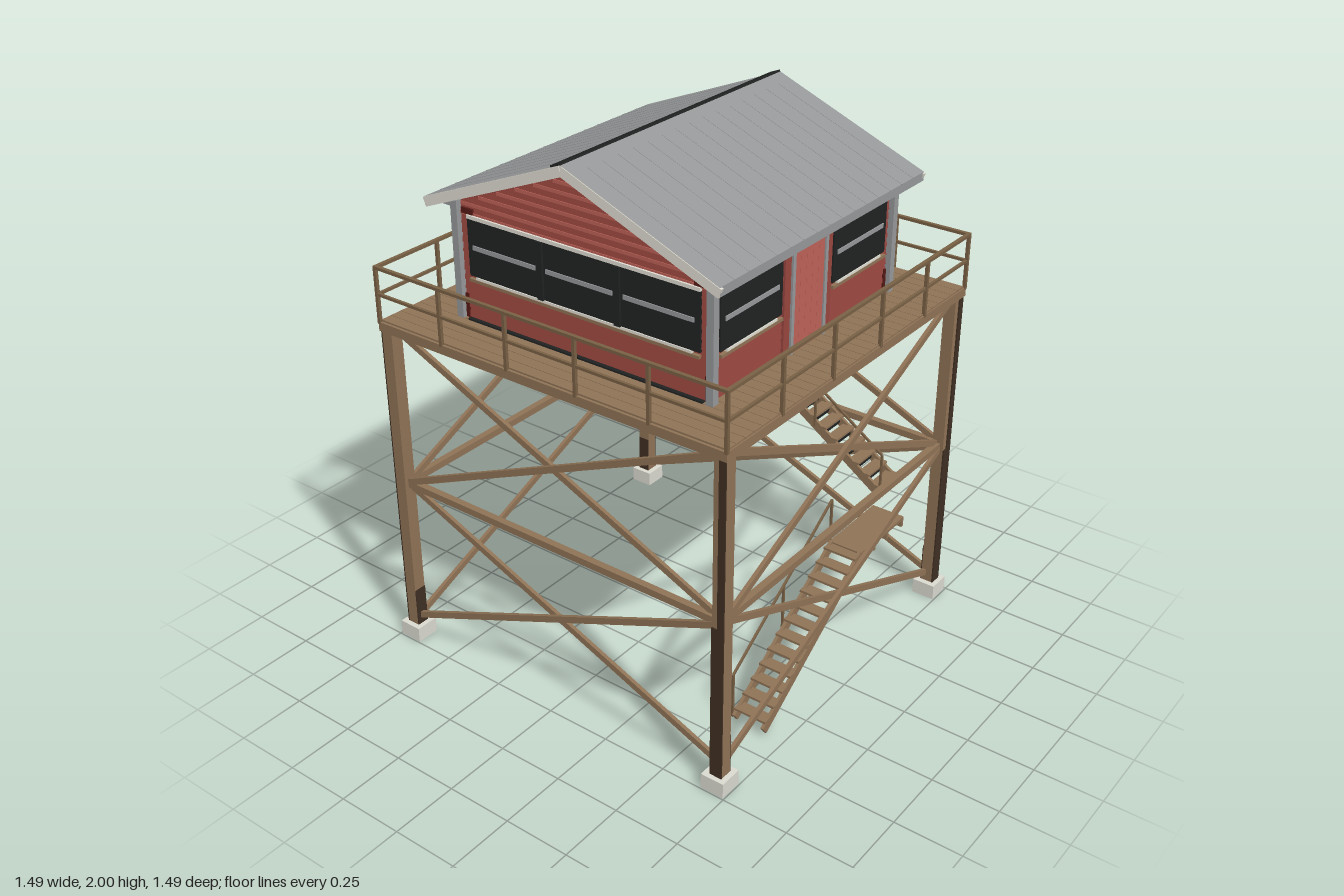
import * as THREE from 'three';

const mat = (name, color) => {
  const m = new THREE.MeshStandardMaterial({ color });
  m.name = name;
  return m;
};

export function createModel() {
  const wood = mat('wood', 0x8e7255);
  const darkWood = mat('darkWood', 0x3e2e22);
  const railWood = mat('railWood', 0x786045);
  const concrete = mat('concrete', 0xdad9cf);
  const red = mat('redSiding', 0x97453e);
  const doorRed = mat('doorRed', 0xbc6157);
  const maroon = mat('maroon', 0x561a16);
  const black = mat('black', 0x202222);
  const grey = mat('metalGrey', 0x959799);
  const cream = mat('cream', 0xdfddd2);

  const root = new THREE.Group();
  root.name = 'lookoutTower';
  const group = (name, parent = root) => {
    const g = new THREE.Group();
    g.name = name;
    parent.add(g);
    return g;
  };
  // Box given by its minimum and maximum corners
  const box = (parent, name, m, x0, x1, y0, y1, z0, z1) => {
    const b = new THREE.Mesh(new THREE.BoxGeometry(x1 - x0, y1 - y0, z1 - z0), m);
    b.position.set((x0 + x1) / 2, (y0 + y1) / 2, (z0 + z1) / 2);
    b.name = name;
    parent.add(b);
    return b;
  };
  // Square timber between two points
  const beam = (parent, name, m, a, b, w, h) => {
    const p = new THREE.Vector3(...a), q = new THREE.Vector3(...b);
    const o = new THREE.Mesh(new THREE.BoxGeometry(w, h, p.distanceTo(q)), m);
    o.position.copy(p).add(q).multiplyScalar(0.5);
    o.lookAt(q);
    o.name = name;
    parent.add(o);
    return o;
  };

  // Four identical tower sides: leg, bracing, rim beam and railing
  for (let i = 0; i < 4; i++) {
    const s = group('towerSide');
    s.rotation.y = i * Math.PI / 2;
    box(s, 'footing', concrete, 0.655, 0.745, 0, 0.058, 0.655, 0.745);
    box(s, 'leg', wood, 0.677, 0.725, 0.058, 1.275, 0.677, 0.722);
    box(s, 'legFaceLower', darkWood, 0.677, 0.725, 0.058, 0.652, 0.722, 0.727);
    box(s, 'legFaceUpper', darkWood, 0.699, 0.725, 0.652, 1.275, 0.722, 0.727);
    box(s, 'legFoot', darkWood, 0.677, 0.725, 0.058, 0.21, 0.674, 0.677);
    box(s, 'girt', wood, -0.7, 0.7, 0.652, 0.678, 0.682, 0.708);
    box(s, 'rimBeam', wood, -0.73, 0.73, 1.272, 1.306, 0.71, 0.73);
    for (const [y0, y1] of [[0.085, 0.66], [0.665, 1.28]]) {
      beam(s, 'brace', wood, [-0.7, y0, 0.703], [0.7, y1, 0.703], 0.014, 0.024);
      beam(s, 'brace', wood, [-0.7, y1, 0.689], [0.7, y0, 0.689], 0.014, 0.024);
    }
    for (let k = 0; k < 5; k++) {
      const x = -0.726 + k * 0.2904;
      box(s, 'railPost', railWood, x - 0.006, x + 0.006, 1.3, 1.51, 0.72, 0.732);
    }
    box(s, 'topRail', railWood, -0.732, 0.732, 1.503, 1.514, 0.718, 0.732);
    box(s, 'midRail', railWood, -0.73, 0.73, 1.404, 1.414, 0.72, 0.73);
  }

  // Deck planks, leaving the stair hatch open at the back
  const deck = group('deck');
  const pitch = 1.44 / 32;
  for (let k = 0; k < 32; k++) {
    const x0 = -0.72 + k * pitch, x1 = x0 + pitch - 0.002, c = x0 + pitch / 2;
    const plank = (z0, z1) => box(deck, 'plank', wood, x0, x1, 1.296, 1.312, z0, z1);
    if (Math.abs(c) > 0.53) plank(-0.725, 0.725);
    else {
      plank(0.5, 0.725);
      if (c < -0.13 || c > 0.28) plank(-0.725, -0.5);
    }
  }
  box(deck, 'underDeck', wood, -0.72, 0.72, 1.286, 1.295, 0.5, 0.72);
  for (const [a, b] of [[-0.72, -0.13], [0.28, 0.72]])
    box(deck, 'underDeck', wood, a, b, 1.286, 1.295, -0.72, -0.5);
  for (const s of [-1, 1])
    box(deck, 'underDeck', wood, s * 0.61 - 0.11, s * 0.61 + 0.11, 1.286, 1.295, -0.5, 0.5);
  box(deck, 'cabinFloor', black, -0.53, 0.53, 1.282, 1.31, -0.53, 0.53);
  for (let k = -3; k <= 3; k++)
    for (const s of [-1, 1])
      box(deck, 'joist', wood, k * 0.18 - 0.008, k * 0.18 + 0.008, 1.27, 1.29, s * 0.625 - 0.095, s * 0.625 + 0.095);
  box(deck, 'hatchRail', railWood, 0.276, 0.284, 1.486, 1.494, -0.73, -0.545);
  box(deck, 'hatchPost', railWood, 0.276, 0.284, 1.3, 1.494, -0.554, -0.546);

  // Three stair flights winding up the tower, railing on the inner side
  const RUN = 0.6, RISE = 0.41, IN = 0.55, OUT = 0.682;
  [[-0.41, 0.025], [-0.54, 0.45], [-0.48, 0.885]].forEach(([x, y], i) => {
    const s = group('stairFlight');
    s.rotation.y = i * Math.PI / 2;
    const at = (t, z, dy = 0) => [x + RUN * t, y + RISE * t + dy, z];
    for (const z of [IN + 0.006, OUT - 0.006])
      beam(s, 'stringer', wood, at(0, z), at(1, z), 0.012, 0.036);
    for (let k = 0; k < 12; k++) {
      const [tx, ty] = at((k + 0.5) / 12, 0);
      box(s, 'tread', wood, tx - 0.024, tx + 0.024, ty + 0.012, ty + 0.021, IN, OUT);
    }
    for (const t of [0, 0.5, 1]) beam(s, 'stairPost', railWood, at(t, IN - 0.004), at(t, IN - 0.004, 0.18), 0.008, 0.008);
    beam(s, 'handrail', railWood, at(0, IN - 0.004, 0.18), at(1, IN - 0.004, 0.18), 0.008, 0.008);
    if (i === 2) return;
    // Landing at the top of the flight
    const lx = x + RUN, ly = y + RISE;
    box(s, 'landing', wood, lx - 0.01, lx + 0.295, ly - 0.002, ly + 0.01, IN, OUT);
    for (const d of [0.09, 0.18, 0.288])
      box(s, 'landingJoist', wood, lx + d - 0.006, lx + d + 0.006, ly - 0.03, ly, IN, OUT);
    if (i === 0) return;
    for (const z of [IN, OUT - 0.01]) box(s, 'landingFascia', wood, lx, lx + 0.295, ly - 0.028, ly, z, z + 0.01);
    box(s, 'landingEdge', black, lx - 0.014, lx - 0.01, ly - 0.03, ly + 0.009, IN + 0.012, OUT - 0.012);
    // Dark risers facing down the middle flight, above a metal kick plate
    for (let k = 0; k < 12; k++) {
      const [tx, ty] = at((k + 0.5) / 12, 0);
      const riser = new THREE.Mesh(new THREE.PlaneGeometry(0.106, 0.026), k ? black : grey);
      riser.rotation.y = -Math.PI / 2;
      riser.position.set(tx - 0.012, ty - 0.001, (IN + OUT) / 2);
      riser.name = 'riser';
      s.add(riser);
    }
  });

  // Cabin body with gables facing the sides
  const cabin = group('cabin');
  const prism = (name, m, pts, length) => {
    const geo = new THREE.ExtrudeGeometry(new THREE.Shape(pts.map(p => new THREE.Vector2(...p))),
      { depth: length, bevelEnabled: false });
    geo.translate(0, 0, -length / 2).rotateY(Math.PI / 2);
    const o = new THREE.Mesh(geo, m);
    o.name = name;
    cabin.add(o);
  };
  prism('cabinBody', red, [[-0.515, 1.305], [0.515, 1.305], [0.515, 1.755], [0, 1.968], [-0.515, 1.755]], 1.03);

  // Lapped siding, windows and corner boards on each wall
  for (let i = 0; i < 4; i++) {
    const w = group(['frontWall', 'leftWall', 'backWall', 'rightWall'][i], cabin);
    w.rotation.y = i * Math.PI / 2;
    const rows = i % 2 ? 18 : 12;
    for (let k = 0; k < rows; k++) {
      const y = 1.315 + k * 0.034;
      const half = Math.min(0.515, (1.968 - y - 0.034) / 0.415);
      const lap = box(w, 'sidingBoard', red, -half, half, y, y + 0.036, 0.513, 0.519);
      lap.rotation.x = -0.15;
      // Paler lower edges on the gable boards
      if (k > 10) box(w, 'sidingEdge', doorRed, -half, half, y, y + 0.012, 0.515, 0.5225);
    }
    for (const s of [-1, 1]) {
      box(w, 'cornerBoard', grey, s * 0.526 - 0.014, s * 0.526 + 0.014, 1.31, 1.745, 0.512, 0.54);
      box(w, 'cornerTrim', maroon, s * 0.505 - 0.007, s * 0.505 + 0.007, 1.31, 1.4, 0.515, 0.524);
    }
    const spans = i === 0 ? [[-0.485, -0.15], [0.15, 0.485]] : [[-0.48, 0.48]];
    for (const [a, b] of spans) {
      box(w, 'windowGlass', black, a, b, 1.475, 1.68, 0.518, 0.527);
      box(w, 'windowHeader', cream, a, b, 1.681, 1.694, 0.518, 0.53);
      box(w, 'windowSill', wood, a, b, 1.455, 1.466, 0.518, 0.533);
      box(w, 'sillStrip', cream, a + 0.03, b - 0.03, 1.466, 1.475, 0.518, 0.531);
      for (const x of [a, b]) box(w, 'windowCorner', maroon, x - 0.025, x + 0.025, 1.695, 1.715, 0.518, 0.526);
      const panes = i === 0 ? 1 : 3, pw = (b - a) / panes;
      for (let k = 0; k < panes; k++) {
        const p = a + k * pw;
        box(w, 'paneBar', grey, p + 0.022, p + pw - 0.022, 1.573, 1.589, 0.527, 0.531);
        if (k) box(w, 'mullion', black, p - 0.012, p + 0.012, 1.475, 1.68, 0.527, 0.536);
      }
    }
  }

  // Front door of vertical boards
  const door = group('door', cabin);
  for (let k = 0; k < 5; k++)
    box(door, 'doorBoard', doorRed, -0.088 + k * 0.0352, -0.0538 + k * 0.0352, 1.312, 1.685, 0.515, 0.53);
  for (const s of [-1, 1]) {
    box(door, 'doorJamb', grey, s * 0.096 - 0.008, s * 0.096 + 0.008, 1.312, 1.69, 0.515, 0.535);
    box(door, 'doorTrim', red, s * 0.122 - 0.017, s * 0.122 + 0.017, 1.312, 1.69, 0.515, 0.528);
  }
  box(door, 'doorLintel', black, -0.104, 0.104, 1.685, 1.697, 0.515, 0.537);
  box(door, 'doorDrip', cream, -0.08, 0.06, 1.7, 1.71, 0.515, 0.537);

  // Gabled metal roof with shallow seams and pale barge boards
  const HX = 0.595, RIDGE = 1.993, EAVE = 1.752, HZ = 0.6;
  prism('roof', [cream, grey],
    [[-HZ, EAVE], [-HZ, EAVE - 0.032], [0, RIDGE - 0.032], [HZ, EAVE - 0.032], [HZ, EAVE], [0, RIDGE]], 2 * HX);
  const slopeY = z => RIDGE - (RIDGE - EAVE) * z / HZ;
  for (const s of [-1, 1]) {
    for (let k = 1; k < 16; k++) {
      const x = -HX + k * 2 * HX / 16;
      beam(cabin, 'roofSeam', grey, [x, slopeY(0.045), s * 0.045], [x, EAVE, s * HZ], 0.006, 0.002);
    }
    for (const t of [-1, 1])
      beam(cabin, 'bargeBoard', cream, [s * (HX - 0.004), RIDGE - 0.02, 0], [s * (HX - 0.004), EAVE - 0.02, t * HZ], 0.012, 0.034);
    box(cabin, 'eaveSoffit', grey, -0.54, 0.54, 1.715, 1.735, s * 0.545 - 0.03, s * 0.545 + 0.03);
  }
  beam(cabin, 'ridgeCap', black, [0, RIDGE + 0.002, 0], [0, RIDGE - 0.014, -0.04], 2 * HX, 0.009);

  return root;
}
